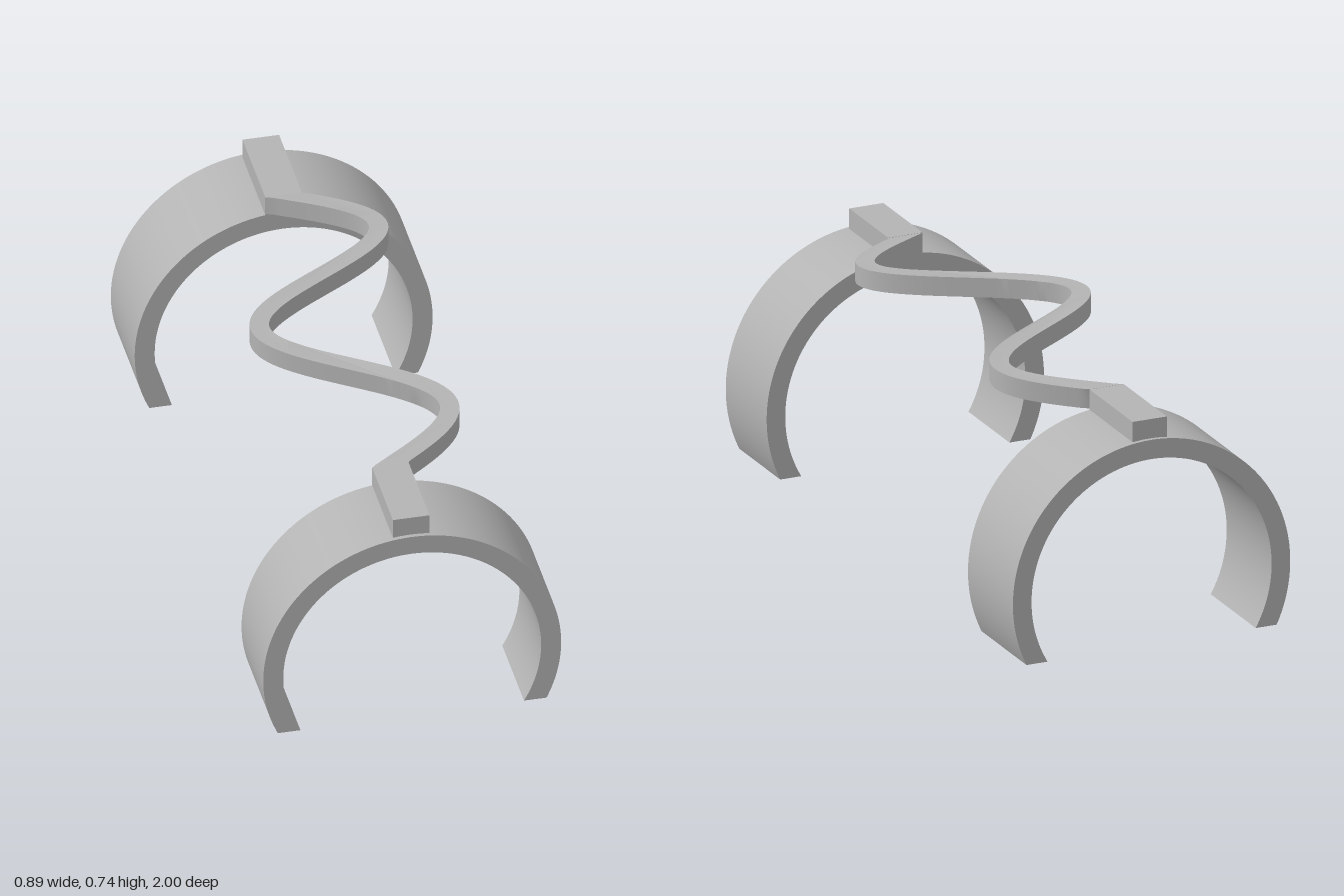
import * as THREE from 'three';
import { toCreasedNormals } from 'three/addons/utils/BufferGeometryUtils.js';

const CY = 0.193, R_OUT = 0.447, R_IN = 0.387; // clip ring
const PAD_X = 0.055, PAD_TOP = 0.70;
const Z_BACK = -0.687, Z_FRONT = 0.715;        // inner faces of the two clips

function extrude(shape, depth, curveSegments) {
  return new THREE.ExtrudeGeometry(shape, { depth, curveSegments, bevelEnabled: false });
}

// Open ring cut flat on the ground
function clipShape() {
  const a = Math.asin(CY / R_OUT), b = Math.asin(CY / R_IN);
  const s = new THREE.Shape();
  s.absarc(0, CY, R_OUT, -a, Math.PI + a, false);
  s.absarc(0, CY, R_IN, Math.PI + b, -b, true);
  s.closePath();
  return s;
}

// Block whose underside follows the ring
function padShape() {
  const a = Math.acos(PAD_X / R_OUT);
  const s = new THREE.Shape();
  s.moveTo(PAD_X, PAD_TOP);
  s.lineTo(-PAD_X, PAD_TOP);
  s.absarc(0, CY, R_OUT, Math.PI - a, a, true);
  s.closePath();
  return s;
}

// Wavy strip of constant width, arched upward in the middle
function waveGeometry() {
  const amp = 0.23, half = 0.467, mid = 0.01, halfWidth = 0.0285, steps = 160;
  const edge = (side) => {
    const pts = [new THREE.Vector2(side * 0.053, Z_BACK)];
    for (let i = 0; i <= steps; i++) {
      const z = -0.8 + (1.6 * i) / steps;
      const p = (Math.PI * (z - mid)) / half;
      const slope = (amp * Math.PI / half) * Math.sin(p);
      const len = Math.hypot(1, slope);
      const px = -amp * Math.cos(p) + (side * halfWidth) / len;
      const pz = z - (side * halfWidth * slope) / len;
      if (pz > Z_BACK + 0.004 && pz < Z_FRONT - 0.004) pts.push(new THREE.Vector2(px, pz));
    }
    pts.push(new THREE.Vector2(side * 0.053, Z_FRONT));
    return pts;
  };
  const outline = [...edge(1), ...edge(-1).reverse()];
  const geo = extrude(new THREE.Shape(outline), 0.06, 1);
  geo.rotateX(Math.PI / 2);
  const pos = geo.attributes.position;
  for (let i = 0; i < pos.count; i++) {
    const t = (pos.getZ(i) - mid) / 0.7;
    pos.setY(i, pos.getY(i) + 0.74 - 0.04 * t * t);
  }
  return toCreasedNormals(geo, 0.6);
}

export function createModel() {
  const model = new THREE.Group();
  const grey = new THREE.MeshStandardMaterial({ color: 0xb3b3b3 });
  grey.name = 'grey';

  const add = (name, geometry, z = 0) => {
    const mesh = new THREE.Mesh(geometry, grey);
    mesh.name = name;
    mesh.position.z = z;
    model.add(mesh);
  };

  // Clip and pad at each end
  const ends = [
    { name: 'front', clip: [Z_FRONT, 1], pad: [Z_FRONT, 0.987] },
    { name: 'back', clip: [-1, Z_BACK], pad: [-0.987, Z_BACK] },
  ];
  for (const { name, clip, pad } of ends) {
    add(name + 'Clip', toCreasedNormals(extrude(clipShape(), clip[1] - clip[0], 64), 0.6), clip[0]);
    add(name + 'Pad', toCreasedNormals(extrude(padShape(), pad[1] - pad[0], 8), 0.6), pad[0]);
  }

  // Spring strip joining the clips
  add('waveBridge', waveGeometry());
  return model;
}
